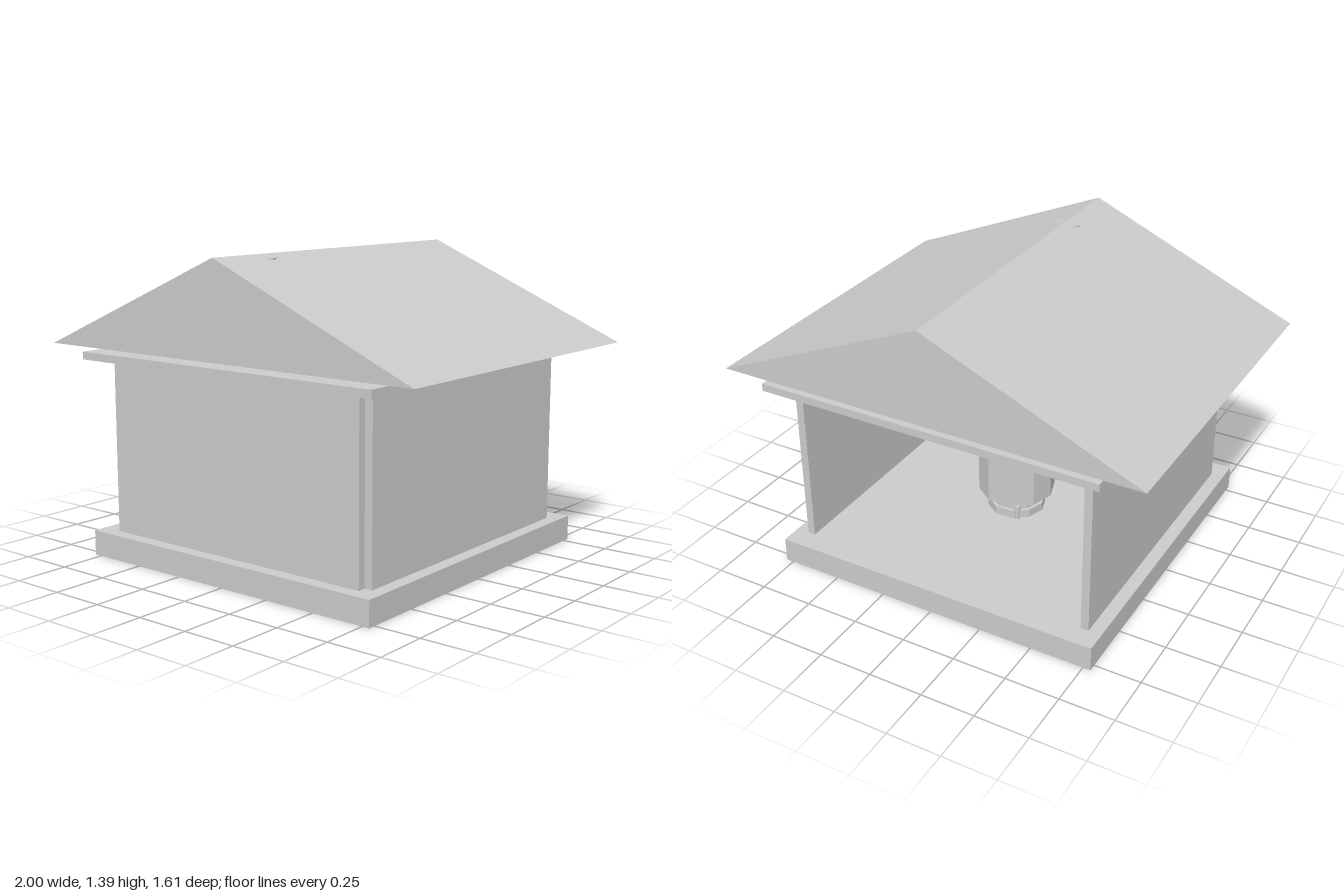
import * as THREE from 'three';

export function createModel() {
  const group = new THREE.Group();
  const material = new THREE.MeshStandardMaterial({ color: 0xcccccc, flatShading: true });

  function add(name, geometry, x = 0, y = 0, z = 0) {
    const mesh = new THREE.Mesh(geometry, material);
    mesh.name = name;
    mesh.position.set(x, y, z);
    group.add(mesh);
    return mesh;
  }

  // Box given by its bottom height
  const box = (name, w, h, d, x, y, z) =>
    add(name, new THREE.BoxGeometry(w, h, d), x, y + h / 2, z);

  // Faceted upright cylinder with a corner on the x axis
  function column(name, rTop, rBottom, sides, y0, y1, x = 0, z = 0) {
    const geometry = new THREE.CylinderGeometry(rTop, rBottom, y1 - y0, sides);
    geometry.rotateY(Math.PI / 2);
    return add(name, geometry, x, (y0 + y1) / 2, z);
  }

  // Floor slab and ceiling slab
  const floorTop = 0.115;
  const wallTop = 0.905;
  box('floorSlab', 1.57, floorTop, 1.57, 0, 0, 0);
  box('ceilingSlab', 1.61, 0.035, 1.61, 0, wallTop, 0);

  // Three walls, open at the back
  const wallHeight = wallTop - floorTop;
  box('frontWall', 1.375, wallHeight, 0.037, 0, floorTop, 0.706);
  for (const side of [-1, 1]) {
    box(side > 0 ? 'leftWall' : 'rightWall', 0.037, wallHeight, 1.375, side * 0.706, floorTop, 0);
  }

  // Solid gable roof
  const gable = new THREE.Shape([
    new THREE.Vector2(-1, 0.963),
    new THREE.Vector2(1, 0.963),
    new THREE.Vector2(0, 1.393),
  ]);
  add('roof', new THREE.ExtrudeGeometry(gable, { depth: 1.61, bevelEnabled: false }), 0, 0, -0.805);

  // Flue rising through the roof by the front wall
  column('flue', 0.057, 0.057, 8, floorTop, 1.376, 0, 0.49);

  // Round tank on a narrower foot ring
  column('tank', 0.18, 0.18, 10, 0.21, 0.62);
  column('tankNeck', 0.12, 0.12, 10, 0.155, 0.21);
  column('footRing', 0.137, 0.137, 10, floorTop, 0.155);

  // Small feet around the ring
  for (let i = 0; i < 3; i++) {
    const a = Math.PI / 2 + (i * Math.PI * 2) / 3;
    column('foot', 0.014, 0.014, 8, floorTop, 0.18, Math.sin(a) * 0.13, Math.cos(a) * 0.13);
  }

  return group;
}
